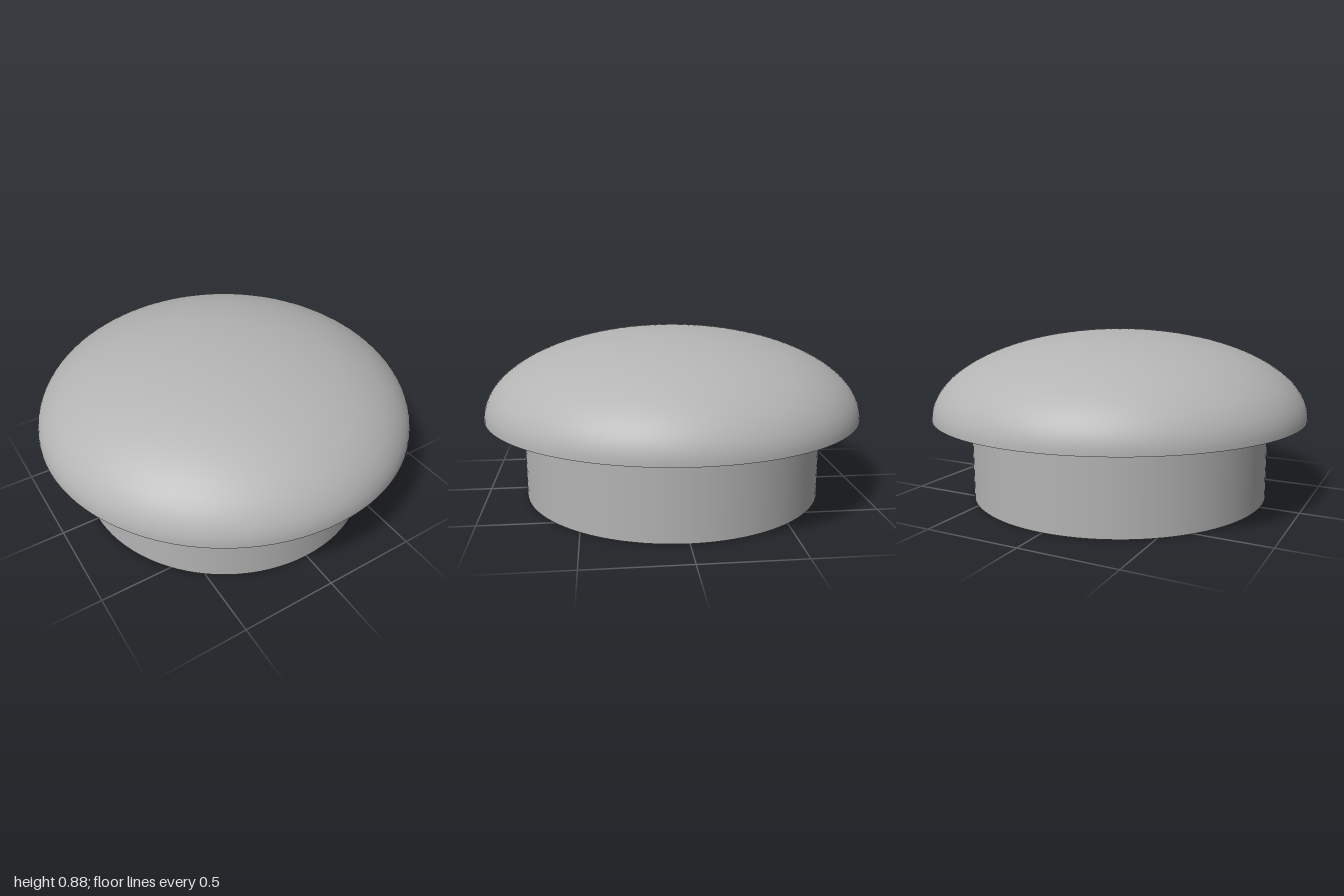
import * as THREE from 'three';

const SEGMENTS = 96;
const RIM_Y = 0.434;   // underside of the cap
const TOP_Y = 0.88;
const CEILING_Y = 0.34; // bottom of the solid part inside the collar
const OUTER = 0.8;
const INNER = 0.7;

const lathe = (points) =>
  new THREE.LatheGeometry(points.map(([r, y]) => new THREE.Vector2(r, y)), SEGMENTS);

export function createModel() {
  const model = new THREE.Group();
  model.name = 'domedPlug';
  const grey = new THREE.MeshStandardMaterial({ color: 0xb4b4b4 });
  grey.name = 'plain grey';

  const add = (parent, name, points) => {
    const mesh = new THREE.Mesh(lathe(points), grey);
    mesh.name = name;
    parent.add(mesh);
  };

  // Cap: half-ellipse dome with a flat overhanging underside
  const cap = new THREE.Group();
  cap.name = 'cap';
  const dome = [];
  const steps = 32;
  for (let i = 0; i <= steps; i++) {
    const a = (i / steps) * Math.PI / 2;
    dome.push([i === steps ? 0 : Math.cos(a), RIM_Y + (TOP_Y - RIM_Y) * Math.sin(a)]);
  }
  add(cap, 'dome', dome);
  add(cap, 'capUnderside', [[OUTER, RIM_Y], [1, RIM_Y]]);

  // Collar: hollow from below, each face separate to keep its edges sharp
  const collar = new THREE.Group();
  collar.name = 'collar';
  add(collar, 'outerWall', [[OUTER, 0], [OUTER, RIM_Y]]);
  add(collar, 'bottomRim', [[INNER, 0], [OUTER, 0]]);
  add(collar, 'innerWall', [[INNER, CEILING_Y], [INNER, 0]]);
  add(collar, 'recessCeiling', [[0, CEILING_Y], [INNER, CEILING_Y]]);

  model.add(cap, collar);
  return model;
}
